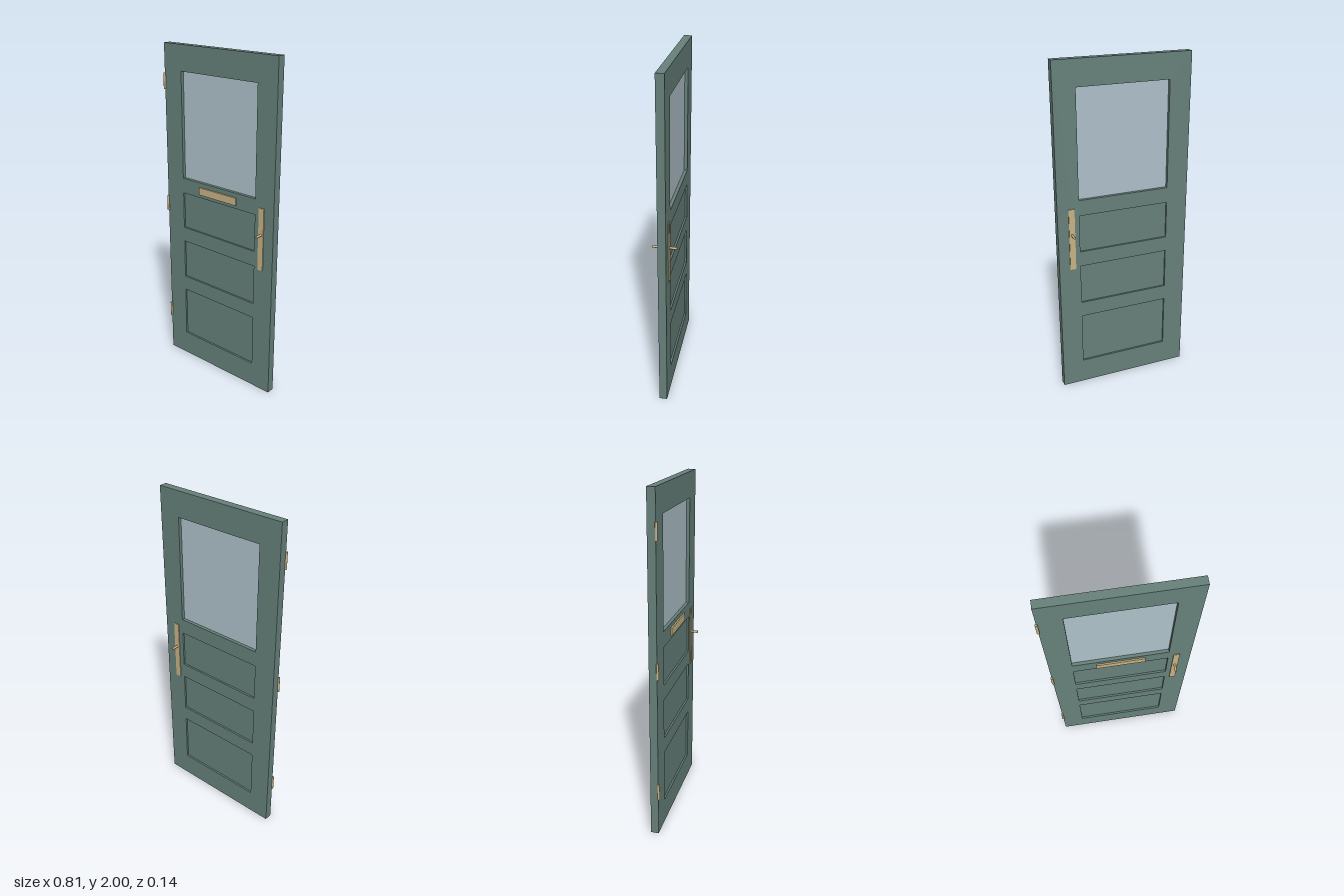
import * as THREE from 'three';

export function createModel() {
  const door = new THREE.Group();
  door.name = 'door';

  const paint = new THREE.MeshStandardMaterial({ color: 0x67817a });
  paint.name = 'green paint';
  const glass = new THREE.MeshStandardMaterial({ color: 0xafc1ca });
  glass.name = 'pale glass';
  const brass = new THREE.MeshStandardMaterial({ color: 0xc8b284 });
  brass.name = 'brass';

  const add = (name, geometry, material, x, y, z) => {
    const mesh = new THREE.Mesh(geometry, material);
    mesh.name = name;
    mesh.position.set(x, y, z);
    door.add(mesh);
    return mesh;
  };
  // Box given by its lower and upper limits on each axis
  const addBox = (name, material, [x0, x1], [y0, y1], [z0, z1]) =>
    add(name, new THREE.BoxGeometry(x1 - x0, y1 - y0, z1 - z0), material,
      (x0 + x1) / 2, (y0 + y1) / 2, (z0 + z1) / 2);
  const trace = (path, [x0, x1], [y0, y1]) => {
    path.moveTo(x0, y0);
    path.lineTo(x1, y0);
    path.lineTo(x1, y1);
    path.lineTo(x0, y1);
    path.closePath();
    return path;
  };

  const back = -0.025, front = 0.021, middle = (back + front) / 2;
  const opening = [-0.271, 0.275];
  const windowSpan = [1.22, 1.852];
  const panelSpans = [[0.152, 0.472], [0.566, 0.81], [0.902, 1.127]];

  // Frame: stiles and rails around the window and three panels
  const outline = trace(new THREE.Shape(), [-0.4, 0.404], [0, 2]);
  for (const span of [windowSpan, ...panelSpans]) {
    outline.holes.push(trace(new THREE.Path(), opening, span));
  }
  add('frame', new THREE.ExtrudeGeometry(outline, { depth: front - back, bevelEnabled: false }),
    paint, 0, 0, back);

  // Recessed panels and window pane
  for (const span of panelSpans) {
    addBox('panel', paint, opening, span, [back + 0.011, front - 0.011]);
  }
  addBox('windowPane', glass, opening, windowSpan, [middle - 0.004, middle + 0.004]);

  // Letter plate
  addBox('letterPlate', brass, [-0.137, 0.142], [1.148, 1.193], [front, 0.03]);

  // Handle plates on both faces, each with a projecting round spindle
  for (const side of [1, -1]) {
    const face = side > 0 ? front : back;
    const between = (a, b) => [Math.min(a, b), Math.max(a, b)];
    addBox('handlePlate', brass, [0.304, 0.339], [0.8, 1.175], between(face, face + side * 0.005));
    add('handle', new THREE.CylinderGeometry(0.007, 0.007, 0.047, 16), brass,
      0.3215, 1.017, face + side * 0.0235).rotation.x = Math.PI / 2;
  }

  // Hinge barrels on the right edge
  for (const y of [0.285, 1.035, 1.785]) {
    add('hinge', new THREE.CylinderGeometry(0.007, 0.007, 0.094, 16), brass, -0.4, y, 0.024);
  }

  return door;
}
